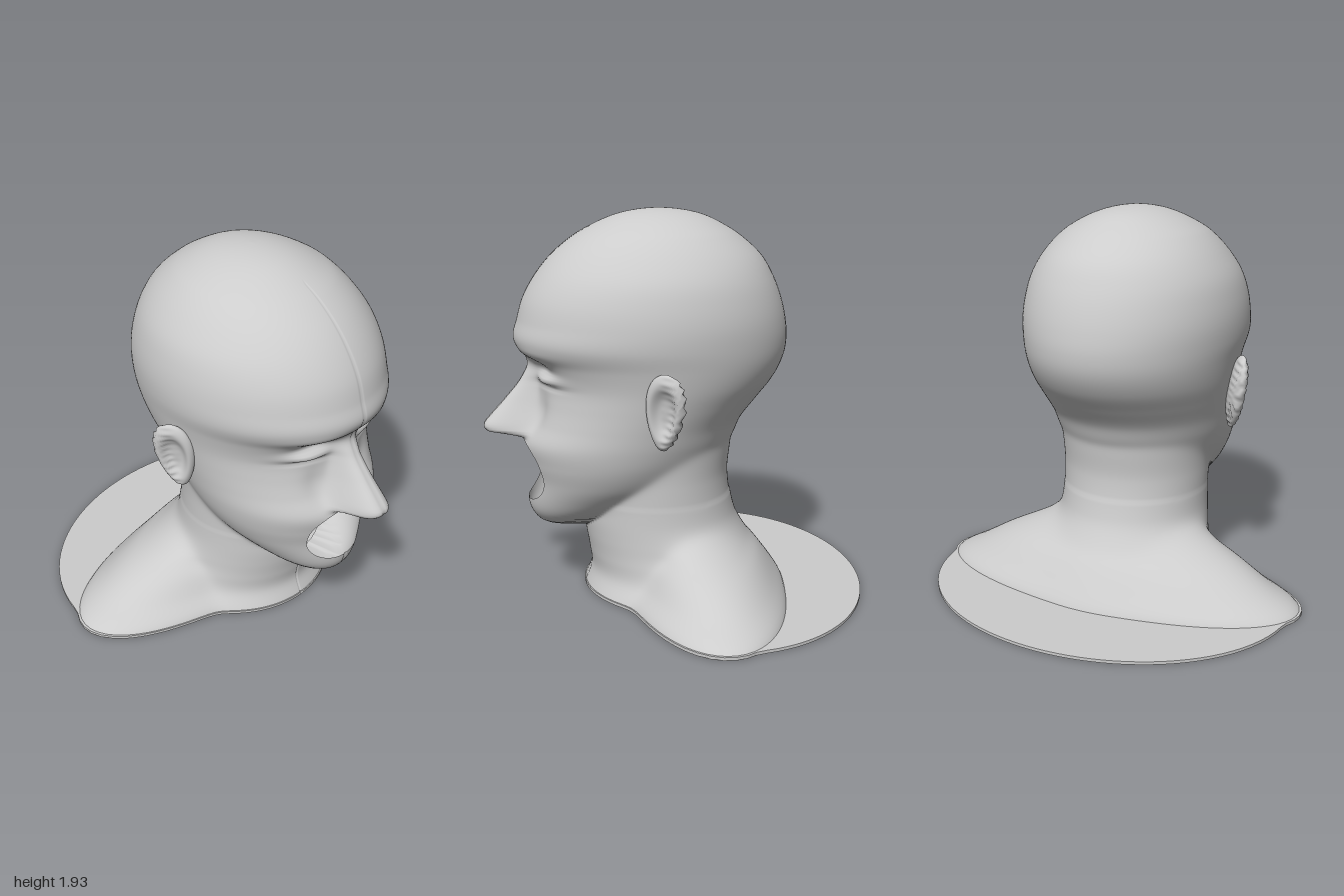
import * as THREE from 'three';

const TOP = 1.93, Z0 = 0.08, COLS = 200, ROWS = 170;

// Smooth interpolation through a table of rows [y, a, b, c]
function lookup(table, y, k) {
  const n = table.length - 1;
  if (y <= table[0][0]) return table[0][k];
  if (y >= table[n][0]) return table[n][k];
  let i = 0;
  while (table[i + 1][0] < y) i++;
  const slope = (j) => {
    const a = table[Math.max(j - 1, 0)], b = table[Math.min(j + 1, n)];
    return (b[k] - a[k]) / (b[0] - a[0]);
  };
  const p = table[i], q = table[i + 1], h = q[0] - p[0], t = (y - p[0]) / h;
  const t2 = t * t, t3 = t2 * t;
  return p[k] * (2 * t3 - 3 * t2 + 1) + slope(i) * h * (t3 - 2 * t2 + t)
    + q[k] * (3 * t2 - 2 * t3) + slope(i + 1) * h * (t3 - t2);
}

// Cross-sections: height, half width, centre z, half depth (sizes are squared for round ends)
const sections = (rows) => rows.map(([y, w, c, d]) => [y, w * w, c, d * d]);
const SKULL = sections([
  [0.335, 0, 0.57, 0], [0.36, 0.11, 0.56, 0.13], [0.4, 0.18, 0.515, 0.215], [0.5, 0.29, 0.4, 0.355],
  [0.6, 0.37, 0.325, 0.425], [0.7, 0.42, 0.285, 0.485], [0.8, 0.45, 0.2475, 0.5375],
  [0.9, 0.47, 0.2, 0.54], [1.0, 0.49, 0.145, 0.565], [1.1, 0.51, 0.1, 0.6], [1.2, 0.53, 0.095, 0.645],
  [1.3, 0.55, 0.12, 0.685], [1.4, 0.553, 0.115, 0.67], [1.5, 0.54, 0.1125, 0.6425],
  [1.6, 0.51, 0.105, 0.595], [1.7, 0.45, 0.095, 0.525], [1.8, 0.36, 0.09, 0.41],
  [1.85, 0.285, 0.085, 0.325], [1.9, 0.175, 0.08, 0.21], [TOP, 0, 0.08, 0]]);
const NECK = sections([
  [0, 0.5, -0.03, 0.5], [0.1, 0.44, -0.018, 0.452], [0.2, 0.41, 0.022, 0.422], [0.3, 0.39, 0.06, 0.4],
  [0.4, 0.38, 0.085, 0.385], [0.6, 0.38, 0.1, 0.37], [0.8, 0.38, 0.09, 0.37], [1.0, 0.35, 0.08, 0.3],
  [1.2, 0.2, 0.08, 0.2], [1.3, 0, 0.08, 0]]);
const SHOULDERS = sections([
  [0, 0.99, -0.12, 0.42], [0.03, 0.96, -0.12, 0.41], [0.1, 0.83, -0.12, 0.36], [0.2, 0.65, -0.1, 0.3],
  [0.25, 0.54, -0.08, 0.26], [0.3, 0.43, -0.05, 0.24], [0.4, 0.25, 0, 0.18], [0.5, 0, 0, 0]]);
// Nose: height, projection, half width
const NOSE = [[0.818, 0, 0.1], [0.835, 0.16, 0.1], [0.86, 0.205, 0.095], [0.89, 0.21, 0.09],
  [1.0, 0.145, 0.07], [1.1, 0.075, 0.06], [1.17, 0.02, 0.06], [1.22, 0, 0.06]];

// Distance from the axis to the far side of an ellipse in direction a
function ellipseHit(a, w2, c, d2) {
  if (w2 < 1e-7 || d2 < 1e-7) return 0;
  const s = Math.sin(a), o = Math.cos(a), m = Z0 - c;
  const A = s * s / w2 + o * o / d2, B = m * o / d2, C = m * m / d2 - 1;
  const disc = B * B - A * C;
  return disc < 0 ? 0 : Math.max(0, (-B + Math.sqrt(disc)) / A);
}
const sectionHit = (table, a, y) => ellipseHit(a, lookup(table, y, 1), lookup(table, y, 2), lookup(table, y, 3));
const blend = (a, b, k) => 0.5 * (a + b + Math.sqrt((a - b) ** 2 + k * k));
const bump = (x, y, cx, cy, sx, sy) => Math.exp(-(((x - cx) / sx) ** 2) - ((y - cy) / sy) ** 2);

// Nose, eye and centre-line relief
function relief(a, r, y) {
  if (Math.cos(a) < 0.2) return 0;
  const x = Math.abs(r * Math.sin(a));
  let h = lookup(NOSE, y, 1) * Math.exp(-((x / lookup(NOSE, y, 2)) ** 3));
  h -= 0.045 * bump(x, y, 0.17, 1.17, 0.1, 0.045);
  h += 0.035 * bump(x, y, 0.2, 1.13, 0.09, 0.03);
  h -= 0.015 * bump(x, y, 0.2, 1.095, 0.1, 0.013);
  h += 0.012 * bump(x, y, 0.2, 1.25, 0.16, 0.03);
  h -= 0.02 * bump(x, y, 0.16, 0.95, 0.06, 0.1);
  if (x < 0.003 && y < 1.85) h -= 0.005;
  return h;
}

function radius(a, y) {
  const fade = Math.min(1, (TOP - y) * 15);
  const body = blend(sectionHit(NECK, a, y), sectionHit(SHOULDERS, a, y), y < 0.5 ? 0.06 : 0.01 * fade);
  const r = blend(sectionHit(SKULL, a, y), body, 0.02 * fade);
  return r + relief(a, r, y);
}

// Mouth opening: positions inside are moved to its rim
const MOUTH = { y: 0.65, rx: 0.225, ry: 0.168, scale: 0.68 };
function mouthDistance(a, y) {
  if (Math.cos(a) < 0) return 9;
  const u = Math.abs(MOUTH.scale * Math.sin(a) / MOUTH.rx), v = Math.abs((y - MOUTH.y) / MOUTH.ry);
  return (u ** 2.3 + v ** 2.3) ** (1 / 2.3);
}

function bustGeometry() {
  const pos = [], index = [], inside = [];
  for (let j = 0; j <= ROWS; j++) {
    for (let i = 0; i < COLS; i++) {
      const u = 2 * i / COLS - 1;
      let a = Math.PI * u * (0.45 + 0.55 * u * u);
      let y = TOP * (1 - (1 - j / ROWS) ** 1.4);
      const e = mouthDistance(a, y);
      inside.push(e < 1);
      if (e < 1) {
        const k = 1 / Math.max(e, 0.01);
        a = Math.asin(Math.max(-1, Math.min(1, Math.sin(a) * k)));
        y = MOUTH.y + (y - MOUTH.y) * k;
      }
      const r = j === ROWS ? 0 : radius(a, y);
      pos.push(r * Math.sin(a), y, Z0 + r * Math.cos(a));
    }
  }
  for (let j = 0; j < ROWS; j++) {
    for (let i = 0; i < COLS; i++) {
      const n = (i + 1) % COLS;
      const a = j * COLS + i, b = j * COLS + n, c = b + COLS, d = a + COLS;
      if (inside[a] && inside[b] && inside[c] && inside[d]) continue;
      index.push(a, b, c, a, c, d);
    }
  }
  const g = new THREE.BufferGeometry();
  g.setAttribute('position', new THREE.Float32BufferAttribute(pos, 3));
  g.setIndex(index);
  g.computeVertexNormals();
  return g;
}

// Flat base, extending behind the shoulders
function baseGeometry() {
  const pts = [];
  for (let i = 0; i < 120; i++) {
    const a = i / 120 * Math.PI * 2;
    let r = radius(a, 0);
    const back = ellipseHit(a, 0.95 ** 2, -0.2, 0.765 ** 2);
    if (Z0 + back * Math.cos(a) < -0.2) r = Math.max(r, back);
    pts.push(new THREE.Vector2(r * Math.sin(a), -(Z0 + r * Math.cos(a))));
  }
  const g = new THREE.ExtrudeGeometry(new THREE.Shape(pts), { depth: 0.015, bevelEnabled: false });
  return g.rotateX(-Math.PI / 2);
}

// Dished ear with a ribbed rim
function earGeometry() {
  const g = new THREE.SphereGeometry(1, 48, 64);
  g.rotateZ(Math.PI / 2);
  const p = g.attributes.position;
  for (let i = 0; i < p.count; i++) {
    const x = p.getX(i), y = p.getY(i), z = p.getZ(i);
    const rho = Math.hypot(y, z), taper = 0.82 + 0.22 * y;
    const rib = 0.006 * Math.sin(y * 34) * Math.max(0, 0.3 - z) * rho;
    const dish = x > 0 ? -0.05 * Math.exp(-((rho / 0.6) ** 4)) : 0;
    p.setXYZ(i, x * 0.045 + dish + rib, y * 0.19, z * 0.115 * taper + rib);
  }
  g.computeVertexNormals();
  return g;
}

export function createModel() {
  const model = new THREE.Group();
  const clay = new THREE.MeshStandardMaterial({ color: 0xcccccc, side: THREE.DoubleSide });
  clay.name = 'grey clay';
  const add = (name, geometry, parent = model) => {
    const mesh = new THREE.Mesh(geometry, clay);
    mesh.name = name;
    parent.add(mesh);
    return mesh;
  };
  add('headAndShoulders', bustGeometry());
  add('base', baseGeometry());

  const earShape = earGeometry();
  for (const side of [1, -1]) {
    const group = new THREE.Group();
    group.name = side > 0 ? 'leftEar' : 'rightEar';
    group.scale.x = side;
    const ear = add('ear', earShape, group);
    ear.position.set(0.54, 1.025, 0.125);
    ear.rotation.set(-0.15, -0.55, -0.2);
    model.add(group);
  }
  return model;
}
